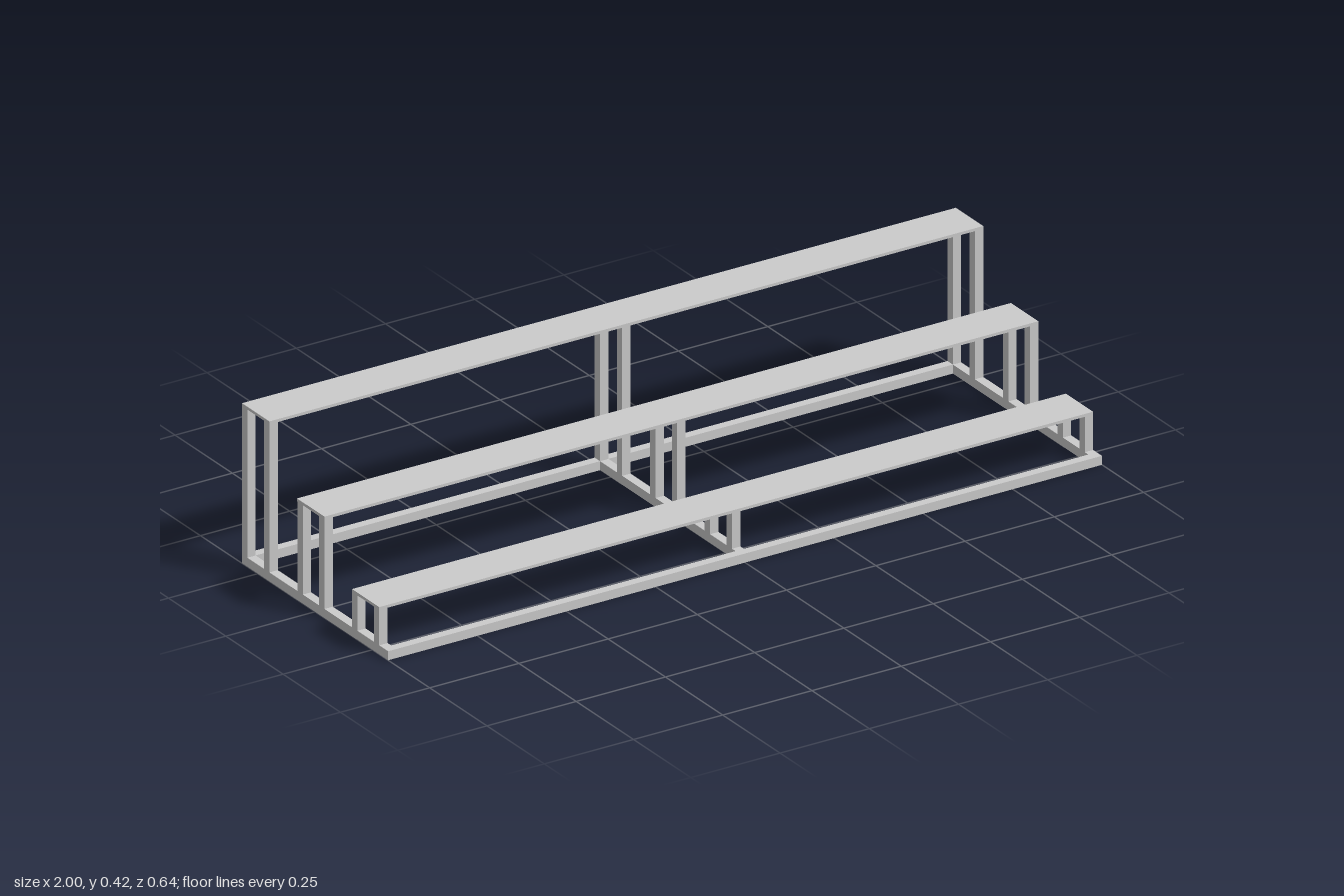
import * as THREE from 'three';

const BAR = 0.0235;     // square tube size
const PLANK = 0.0075;   // plank thickness
const HALF_Z = 0.319;

export function createModel() {
  const model = new THREE.Group();
  const material = new THREE.MeshStandardMaterial({ color: 0xcccccc });

  // Box given by its centre in x and z, and its bottom height
  function addBox(parent, name, [w, h, d], [x, bottom, z]) {
    const mesh = new THREE.Mesh(new THREE.BoxGeometry(w, h, d), material);
    mesh.position.set(x, bottom + h / 2, z);
    mesh.name = name;
    parent.add(mesh);
  }

  const frameXs = [-1 + BAR / 2, 0, 1 - BAR / 2];

  // Base frame: long rails front and back, three cross rails between them
  const base = new THREE.Group();
  base.name = 'baseFrame';
  model.add(base);
  addBox(base, 'frontRail', [2, BAR, BAR], [0, 0, HALF_Z - BAR / 2]);
  addBox(base, 'backRail', [2, BAR, BAR], [0, 0, -HALF_Z + BAR / 2]);
  for (const x of frameXs) {
    addBox(base, 'crossRail', [BAR, BAR, 2 * (HALF_Z - BAR)], [x, 0, 0]);
  }

  // Three rising tiers, each a plank on three pairs of posts
  const tiers = [
    { name: 'lowTier', top: 0.123, front: 0.28, back: 0.161, postBack: 0.161 },
    { name: 'middleTier', top: 0.264, front: 0.041, back: -0.079, postBack: -0.077 },
    { name: 'highTier', top: 0.417, front: -0.199, back: -HALF_Z, postBack: -HALF_Z },
  ];
  for (const { name, top, front, back, postBack } of tiers) {
    const tier = new THREE.Group();
    tier.name = name;
    model.add(tier);
    addBox(tier, 'plank', [2, PLANK, front - back], [0, top - PLANK, (front + back) / 2]);
    const height = top - PLANK - BAR;
    for (const x of frameXs) {
      addBox(tier, 'frontPost', [BAR, height, BAR], [x, BAR, front - BAR / 2]);
      addBox(tier, 'backPost', [BAR, height, BAR], [x, BAR, postBack + BAR / 2]);
    }
  }
  return model;
}
